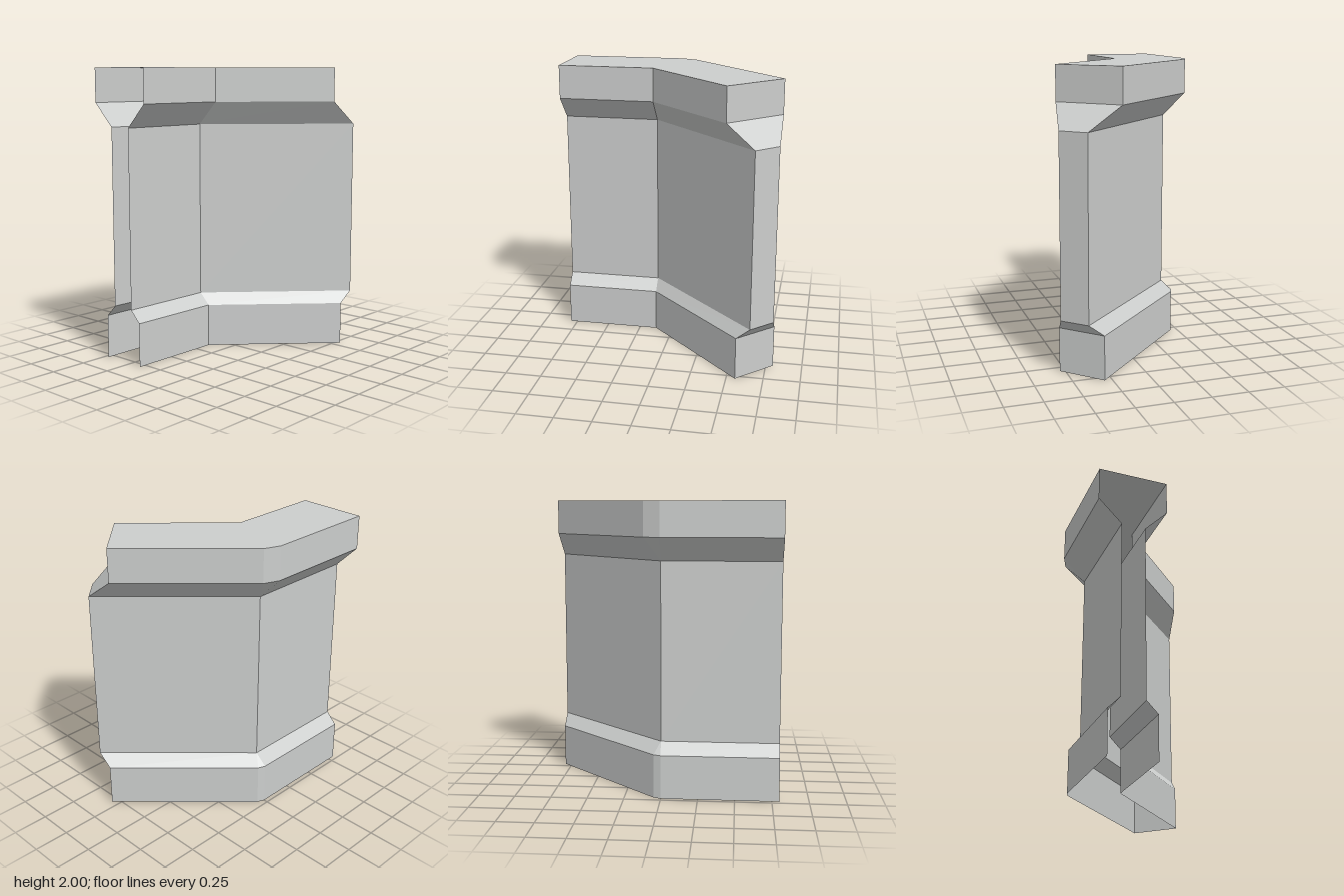
import * as THREE from 'three';

// Footprints [x, z]: front edge, closed angled end, then back edge to the open end
const base = [[-0.8, -0.147], [-0.125, -0.147], [0.56, 0.535], [0.8, 0.3],
  [0.05, -0.45], [0, -0.47], [-0.8, -0.47]];
const shaft = [[-0.8, -0.225], [-0.125, -0.225], [0.655, 0.55], [0.8, 0.405],
  [0.005, -0.39], [0.005, -0.39], [-0.8, -0.39]];
const cap = [[-0.8, -0.07], [-0.125, -0.07], [0.465, 0.517], [0.8, 0.183],
  [0.11, -0.507], [0, -0.55], [-0.8, -0.55]];

// Band of flat panels between two footprints, left open at the -x end
function band(low, y0, high, y1) {
  const pos = [];
  const same = (p, q) => p[0] === q[0] && p[1] === q[1];
  for (let i = 0; i < low.length - 1; i++) {
    const [a, b, c, d] = [low[i], low[i + 1], high[i + 1], high[i]];
    if (!same(a, b)) pos.push(a[0], y0, a[1], b[0], y0, b[1], c[0], y1, c[1]);
    if (!same(c, d)) pos.push(a[0], y0, a[1], c[0], y1, c[1], d[0], y1, d[1]);
  }
  const g = new THREE.BufferGeometry();
  g.setAttribute('position', new THREE.Float32BufferAttribute(pos, 3));
  g.computeVertexNormals();
  return g;
}

export function createModel() {
  const group = new THREE.Group();
  group.name = 'cornerWall';
  const stone = new THREE.MeshStandardMaterial({
    name: 'paleGrey', color: 0xcccecd, flatShading: true, side: THREE.DoubleSide });

  const add = (name, geometry) => {
    const mesh = new THREE.Mesh(geometry, stone);
    mesh.name = name;
    group.add(mesh);
    return mesh;
  };

  // Wall profile from the ground up; the underside stays open
  add('plinth', band(base, 0, base, 0.3));
  add('plinthBevel', band(base, 0.3, shaft, 0.38));
  add('wall', band(shaft, 0.38, shaft, 1.605));
  add('copingBevel', band(shaft, 1.605, cap, 1.765));
  add('coping', band(cap, 1.765, cap, 2));

  // Flat top
  const outline = new THREE.Shape(cap.map(([x, z]) => new THREE.Vector2(x, -z)));
  add('copingTop', new THREE.ShapeGeometry(outline).rotateX(-Math.PI / 2)).position.y = 2;

  return group;
}
